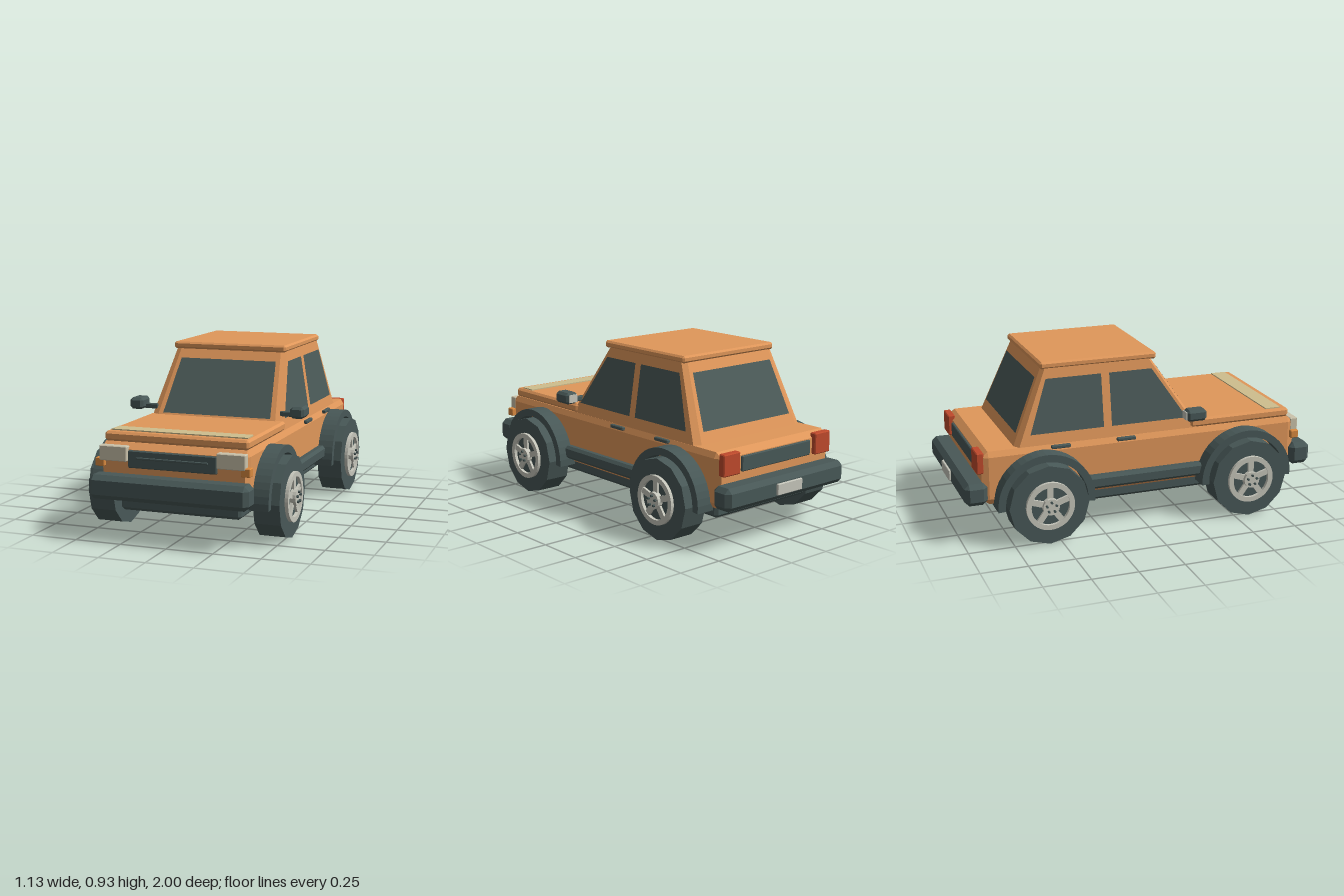
import * as THREE from 'three';
import { ConvexGeometry } from 'three/addons/geometries/ConvexGeometry.js';

const mat = (name, color, opts = {}) => {
  const m = new THREE.MeshStandardMaterial({ color, flatShading: true, ...opts });
  m.name = name;
  return m;
};

export function createModel() {
  const car = new THREE.Group();
  car.name = 'car';

  const paint = mat('orange paint', 0xe0975a);
  const trim = mat('dark trim', 0x485857);
  const glass = mat('dark glass', 0x4c5b59, { side: THREE.DoubleSide });
  const metal = mat('pale metal', 0xc6c6bb);
  const lamp = mat('headlamp cream', 0xcbc3ab);
  const stripe = mat('tan stripe', 0xcfbe8e);
  const red = mat('tail lamp red', 0xbf4a2c);
  const amber = mat('amber', 0xd98a40);

  const add = (name, geo, material, parent = car) => {
    const m = new THREE.Mesh(geo, material);
    m.name = name;
    parent.add(m);
    return m;
  };

  // Box between two corners with cut edges; c is one size or one per axis
  const block = (name, [x0, x1], [y0, y1], [z0, z1], c, material, parent = car) => {
    const [cx, cy, cz] = Array.isArray(c) ? c : [c, c, c];
    const w = (x1 - x0) / 2, h = (y1 - y0) / 2, d = (z1 - z0) / 2;
    let geo;
    if (cx === 0) geo = new THREE.BoxGeometry(2 * w, 2 * h, 2 * d);
    else {
      const pts = [];
      for (const i of [-1, 1]) for (const j of [-1, 1]) for (const k of [-1, 1]) {
        pts.push(
          new THREE.Vector3(i * w, j * (h - cy), k * (d - cz)),
          new THREE.Vector3(i * (w - cx), j * h, k * (d - cz)),
          new THREE.Vector3(i * (w - cx), j * (h - cy), k * d));
      }
      geo = new ConvexGeometry(pts);
    }
    const m = add(name, geo, material, parent);
    m.position.set((x0 + x1) / 2, (y0 + y1) / 2, (z0 + z1) / 2);
    return m;
  };
  // Same block on both sides of the car
  const pair = (name, [x0, x1], y, z, c, material) => {
    block(name + 'Left', [x0, x1], y, z, c, material);
    block(name + 'Right', [-x1, -x0], y, z, c, material);
  };
  // Flat four-cornered pane
  const pane = (name, corners) => {
    const g = new THREE.BufferGeometry();
    g.setAttribute('position', new THREE.Float32BufferAttribute(corners.flat(), 3));
    g.setIndex([0, 1, 2, 0, 2, 3]);
    g.computeVertexNormals();
    add(name, g, glass);
  };

  // Chassis, body and hood
  block('chassis', [-0.33, 0.33], [0.13, 0.21], [-0.8, 0.82], 0.015, trim);
  block('body', [-0.4, 0.4], [0.21, 0.5], [-0.89, 0.905], [0.016, 0.03, 0.037], paint);
  block('hood', [-0.39, 0.39], [0.5, 0.55], [0.28, 0.872], 0.012, paint);
  block('hoodStripe', [-0.37, 0.37], [0.549, 0.556], [0.74, 0.828], 0, stripe);

  // Cabin: tapered block with cut corners
  const cabin = [];
  for (const [y, xs, xe, zf, zr, cut] of [
    [0.49, 0.385, 0.347, 0.347, -0.709, 0.022],
    [0.9, 0.32, 0.292, 0.07, -0.535, 0.016]]) {
    for (const s of [-1, 1]) cabin.push(
      new THREE.Vector3(s * xe, y, zf), new THREE.Vector3(s * xs, y, zf - cut),
      new THREE.Vector3(s * xe, y, zr), new THREE.Vector3(s * xs, y, zr + cut));
  }
  add('cabin', new ConvexGeometry(cabin), paint);
  block('roof', [-0.327, 0.327], [0.892, 0.93], [-0.546, 0.1], 0.01, paint);

  // Windows lie just outside the sloping cabin walls
  const lo = 0.56, hi = 0.843;
  const sideX = y => 0.385 - (y - 0.49) * 0.1585 + 0.004;
  const frontZ = y => 0.347 - (y - 0.49) * 0.6756 + 0.005;
  const rearZ = y => -0.709 + (y - 0.49) * 0.4244 - 0.005;
  pane('windshield', [[-0.31, lo, frontZ(lo)], [0.31, lo, frontZ(lo)],
    [0.277, hi, frontZ(hi)], [-0.277, hi, frontZ(hi)]]);
  pane('rearWindow', [[0.315, lo, rearZ(lo)], [-0.315, lo, rearZ(lo)],
    [-0.28, hi, rearZ(hi)], [0.28, hi, rearZ(hi)]]);
  for (const s of [1, -1]) {
    const side = (name, zs) => {
      const pts = zs.map((z, i) => [s * sideX(i < 2 ? lo : hi), i < 2 ? lo : hi, z]);
      pane(name + (s > 0 ? 'Left' : 'Right'), s > 0 ? pts : pts.reverse());
    };
    side('frontDoorWindow', [0.26, -0.17, -0.17, 0.07]);
    side('rearDoorWindow', [-0.215, -0.62, -0.52, -0.215]);
  }

  // Front end
  block('frontBumper', [-0.43, 0.43], [0.22, 0.345], [0.878, 1], 0.025, trim);
  block('grille', [-0.24, 0.24], [0.378, 0.468], [0.89, 0.918], 0.005, trim);
  block('grilleBar', [-0.195, 0.195], [0.424, 0.436], [0.91, 0.925], 0.003, trim);
  pair('headlight', [0.242, 0.393], [0.41, 0.488], [0.885, 0.93], 0.004, lamp);
  pair('indicator', [0.368, 0.418], [0.378, 0.422], [0.88, 0.927], 0.004, amber);

  // Rear end
  block('rearBumper', [-0.43, 0.43], [0.22, 0.34], [-0.988, -0.865], 0.025, trim);
  block('numberPlate', [-0.09, 0.09], [0.25, 0.31], [-1, -0.985], 0.003, metal);
  block('rearPanel', [-0.25, 0.25], [0.385, 0.465], [-0.903, -0.88], 0.004, trim);
  pair('tailLight', [0.275, 0.39], [0.382, 0.497], [-0.915, -0.875], 0.005, red);

  // Side fittings
  pair('sill', [0.385, 0.44], [0.235, 0.308], [-0.33, 0.34], 0.015, trim);
  pair('frontHandle', [0.39, 0.412], [0.48, 0.499], [-0.15, -0.045], 0.004, trim);
  pair('rearHandle', [0.39, 0.412], [0.48, 0.499], [-0.515, -0.41], 0.004, trim);
  pair('mirrorArm', [0.355, 0.435], [0.573, 0.6], [0.25, 0.277], 0.004, trim);
  pair('mirrorHead', [0.425, 0.502], [0.572, 0.635], [0.215, 0.328], 0.014, trim);
  pair('mirrorFace', [0.437, 0.49], [0.582, 0.625], [0.21, 0.216], 0, metal);

  // Fender flare: half ring drawn out along x
  const arch = new THREE.Shape();
  arch.absarc(0, 0, 0.265, -0.08, Math.PI + 0.08, false);
  arch.absarc(0, 0, 0.225, Math.PI + 0.08, -0.08, true);
  const archGeo = new THREE.ExtrudeGeometry(arch, { depth: 0.105, bevelEnabled: false, curveSegments: 12 });
  archGeo.rotateY(Math.PI / 2).translate(-0.0525, 0, 0);

  // Wheel pieces, axle along x
  const tireGeo = new THREE.CylinderGeometry(0.217, 0.217, 0.14, 12).rotateZ(Math.PI / 2);
  const ring = new THREE.Shape().absarc(0, 0, 0.131, 0, Math.PI * 2, false);
  ring.holes.push(new THREE.Path().absarc(0, 0, 0.104, 0, Math.PI * 2, true));
  const rimGeo = new THREE.ExtrudeGeometry(ring, { depth: 0.176, bevelEnabled: false, curveSegments: 20 });
  rimGeo.rotateY(Math.PI / 2).translate(-0.088, 0, 0);
  const hubGeo = new THREE.CylinderGeometry(0.045, 0.045, 0.2, 16).rotateZ(Math.PI / 2);
  const spokeGeo = new THREE.BoxGeometry(0.166, 0.085, 0.032).translate(0, 0.072, 0);
  const lugGeo = new THREE.CylinderGeometry(0.007, 0.007, 0.222, 6).rotateZ(Math.PI / 2);

  for (const [end, z] of [['front', 0.58], ['rear', -0.565]]) {
    for (const s of [1, -1]) {
      const tag = end + (s > 0 ? 'Left' : 'Right');
      add(tag + 'Flare', archGeo, trim).position.set(s * 0.4325, 0.215, z);
      const wheel = new THREE.Group();
      wheel.name = tag + 'Wheel';
      wheel.position.set(s * 0.455, 0.217, z);
      add('tire', tireGeo, trim, wheel);
      add('rim', rimGeo, metal, wheel);
      add('hub', hubGeo, metal, wheel);
      for (let i = 0; i < 5; i++) {
        const a = (i / 5) * Math.PI * 2;
        add('spoke', spokeGeo, metal, wheel).rotation.x = a;
        add('lugNut', lugGeo, trim, wheel).position.set(0, 0.027 * Math.cos(a), 0.027 * Math.sin(a));
      }
      car.add(wheel);
    }
  }
  return car;
}
